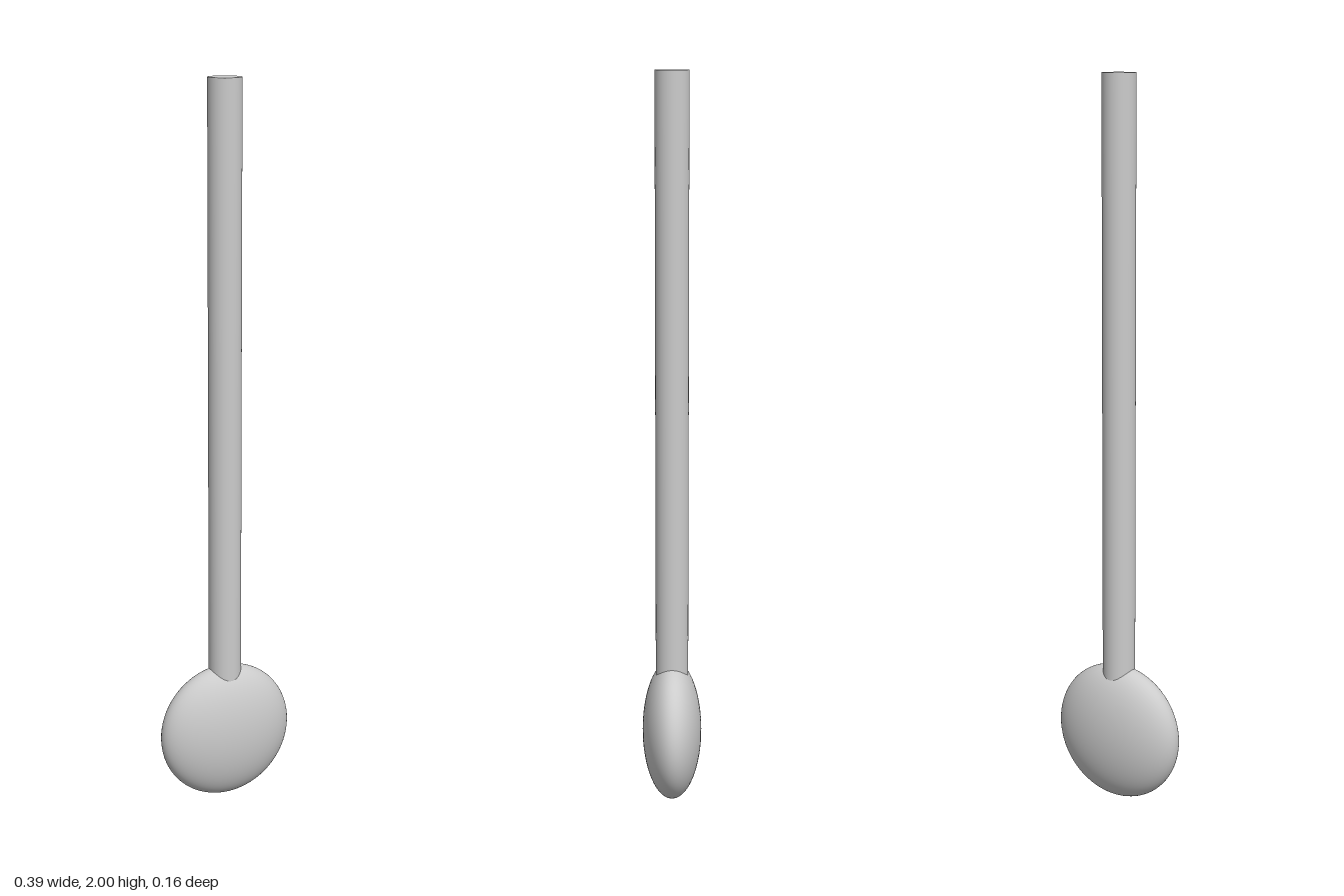
import * as THREE from 'three';

export function createModel() {
  const group = new THREE.Group();
  const material = new THREE.MeshStandardMaterial({ color: 0xcccccc });

  const add = (name, geometry, y) => {
    const mesh = new THREE.Mesh(geometry, material);
    mesh.name = name;
    mesh.position.y = y;
    group.add(mesh);
  };

  // Flattened round head resting on the ground
  const radius = 0.193;
  const head = new THREE.SphereGeometry(radius, 64, 40);
  head.scale(1, 1, 0.082 / radius);
  add('head', head, radius + 0.003);

  // Straight round rod, sunk slightly into the top of the head
  const bottom = 0.33, top = 2;
  const rod = new THREE.CylinderGeometry(0.045, 0.045, top - bottom, 48);
  add('rod', rod, (top + bottom) / 2);

  return group;
}
